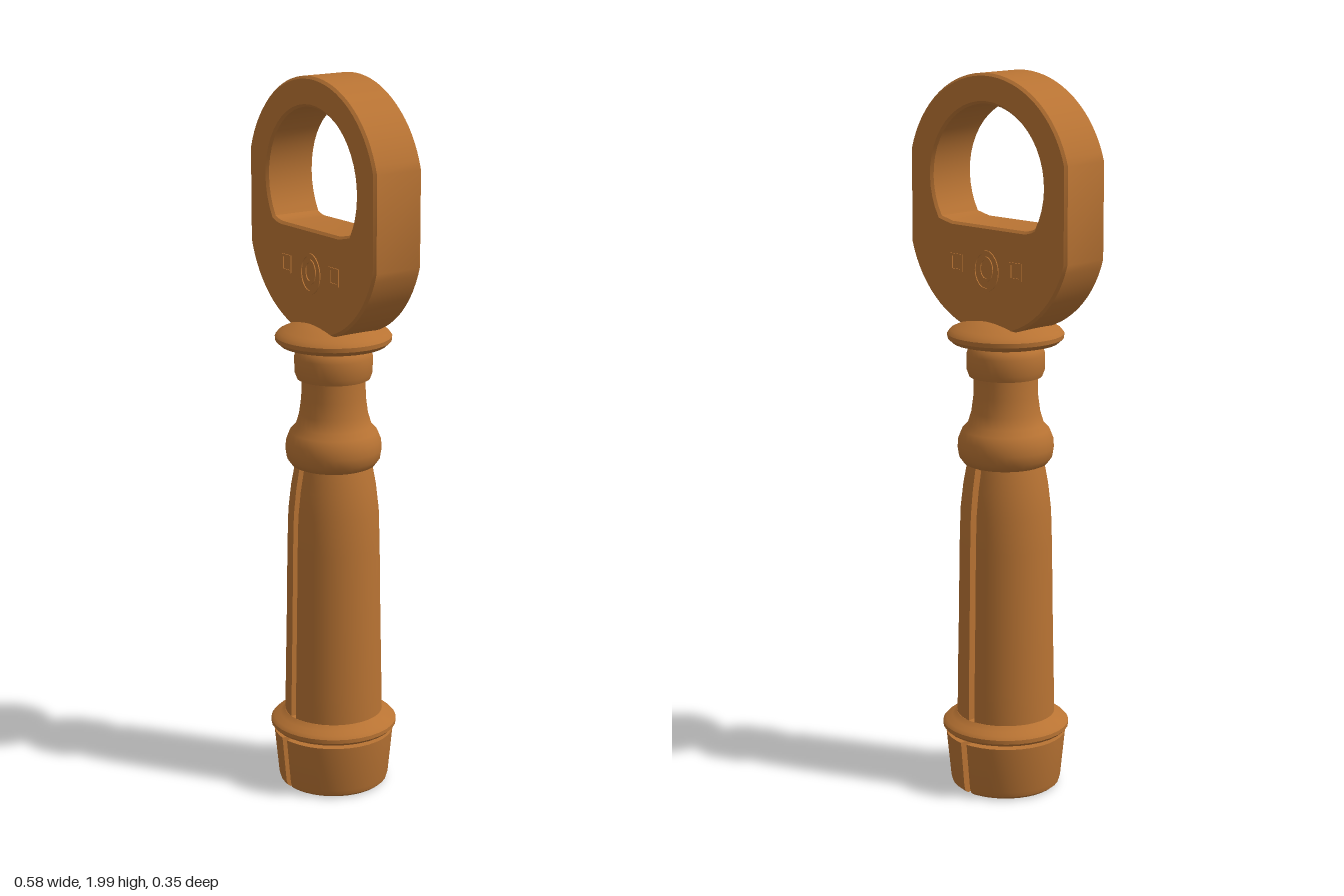
import * as THREE from 'three';
import { toCreasedNormals } from 'three/addons/utils/BufferGeometryUtils.js';

const SLIT = 0.011; // half width of the slit

const bronze = new THREE.MeshStandardMaterial({ color: 0xb87333 });
bronze.name = 'bronze';

const vectors = (pts) => pts.map(([x, y]) => new THREE.Vector2(x, y));

function part(name, geometry, parent, crease = 0.6) {
  const mesh = new THREE.Mesh(toCreasedNormals(geometry, crease), bronze);
  mesh.name = name;
  parent.add(mesh);
  return mesh;
}

const turned = (pts) => new THREE.LatheGeometry(vectors(pts), 32);

// Hollow turned part cut into two halves by a parallel-sided slit
function splitTube(name, pts, parent) {
  const group = new THREE.Group();
  group.name = name;
  for (const side of [0, 1]) {
    const half = new THREE.Group();
    half.name = side ? 'rightHalf' : 'leftHalf';
    half.rotation.y = side * Math.PI;
    const shell = new THREE.LatheGeometry(vectors([...pts, pts[0]]), 18, 0, Math.PI);
    const pos = shell.attributes.position;
    for (let i = 0; i < pos.count; i++) pos.setX(i, Math.max(pos.getX(i), SLIT));
    part('shell', shell, half);
    // flat walls of the slit
    for (const s of [1, -1]) {
      const wall = new THREE.ShapeGeometry(new THREE.Shape(vectors(pts.map(([r, y]) => [s * r, y]))));
      wall.rotateY(-Math.PI / 2).translate(SLIT, 0, 0);
      part('slitWall', wall, half);
    }
    group.add(half);
  }
  parent.add(group);
}

function bowGeometry() {
  const shape = new THREE.Shape();
  const a = 0.27;
  shape.absarc(0, 1.693, 0.3, a, Math.PI - a, false);
  shape.absarc(0, 1.597, 0.3, Math.PI + a, 2 * Math.PI - a, false);
  shape.closePath();
  // round hole with a flat lower edge
  const hole = new THREE.Path();
  const b = Math.asin(0.108 / 0.205);
  hole.absarc(0, 1.708, 0.205, -b, Math.PI + b, false);
  hole.quadraticCurveTo(-0.155, 1.59, -0.13, 1.59);
  hole.lineTo(0.13, 1.59);
  hole.closePath();
  shape.holes.push(hole);
  const bevel = 0.007;
  return new THREE.ExtrudeGeometry(shape, {
    depth: 0.152 - 2 * bevel, curveSegments: 16, bevelEnabled: true,
    bevelThickness: bevel, bevelSize: bevel, bevelOffset: -bevel, bevelSegments: 1,
  }).translate(0, 0, -0.076 + bevel);
}

// Raised plain rim with an open middle
function rimGeometry(w, h, round, line) {
  const outline = (path, hw, hh) => {
    if (round) path.absellipse(0, 0, hw, hh, 0, Math.PI * 2, false);
    else path.setFromPoints(vectors([[-hw, -hh], [hw, -hh], [hw, hh], [-hw, hh], [-hw, -hh]]));
    return path;
  };
  const shape = outline(new THREE.Shape(), w, h);
  shape.holes.push(outline(new THREE.Path(), w - line, h - line));
  return new THREE.ExtrudeGeometry(shape, { depth: 0.005, bevelEnabled: false, curveSegments: 10 });
}

export function createModel() {
  const model = new THREE.Group();
  model.name = 'key';

  // Flat bow with its finger hole
  part('bow', bowGeometry(), model, 0.5);

  // Small ornaments on both faces of the bow
  for (const s of [1, -1]) {
    const ornaments = new THREE.Group();
    ornaments.name = s > 0 ? 'frontOrnaments' : 'backOrnaments';
    ornaments.rotation.y = s > 0 ? 0 : Math.PI;
    part('ovalRim', rimGeometry(0.048, 0.056, true, 0.009), ornaments).position.set(0, 1.47, 0.074);
    part('innerRim', rimGeometry(0.027, 0.034, true, 0.009), ornaments).position.set(0, 1.475, 0.074);
    for (const x of [-0.11, 0.11]) {
      part('squareRim', rimGeometry(0.022, 0.024, false, 0.007), ornaments).position.set(x, 1.48, 0.074);
    }
    model.add(ornaments);
  }

  // Turned disc, collar, neck and bulge
  part('neck', turned([
    [0, 0.925], [0.098, 0.925], [0.115, 0.932], [0.128, 0.95], [0.132, 0.975], [0.13, 1.0],
    [0.12, 1.025], [0.104, 1.042], [0.094, 1.075], [0.088, 1.12], [0.087, 1.172],
    [0.1, 1.174], [0.106, 1.19], [0.107, 1.235], [0.102, 1.25], [0.095, 1.258],
    [0.12, 1.262], [0.145, 1.268], [0.158, 1.28], [0.159, 1.292], [0.15, 1.303],
    [0.135, 1.309], [0.118, 1.32], [0.07, 1.334], [0, 1.34],
  ]), model);

  // Long hollow barrel, slit front and back
  splitTube('barrel', [
    [0.136, 0.19], [0.135, 0.3], [0.131, 0.5], [0.128, 0.7], [0.125, 0.8],
    [0.117, 0.87], [0.106, 0.93], [0.075, 0.93], [0.1, 0.8], [0.105, 0.19],
  ], model);

  // Unbroken ring under the barrel
  part('ring', turned([
    [0.11, 0.165], [0.168, 0.165], [0.176, 0.173], [0.176, 0.184], [0.168, 0.193],
    [0.15, 0.2], [0.137, 0.212], [0.11, 0.212], [0.11, 0.165],
  ]), model);

  // Tapered foot collar, hollow and slit
  splitTube('footCollar', [
    [0.122, 0], [0.14, 0], [0.15, 0.008], [0.154, 0.022], [0.167, 0.154], [0.115, 0.154], [0.115, 0.012],
  ], model);

  return model;
}
